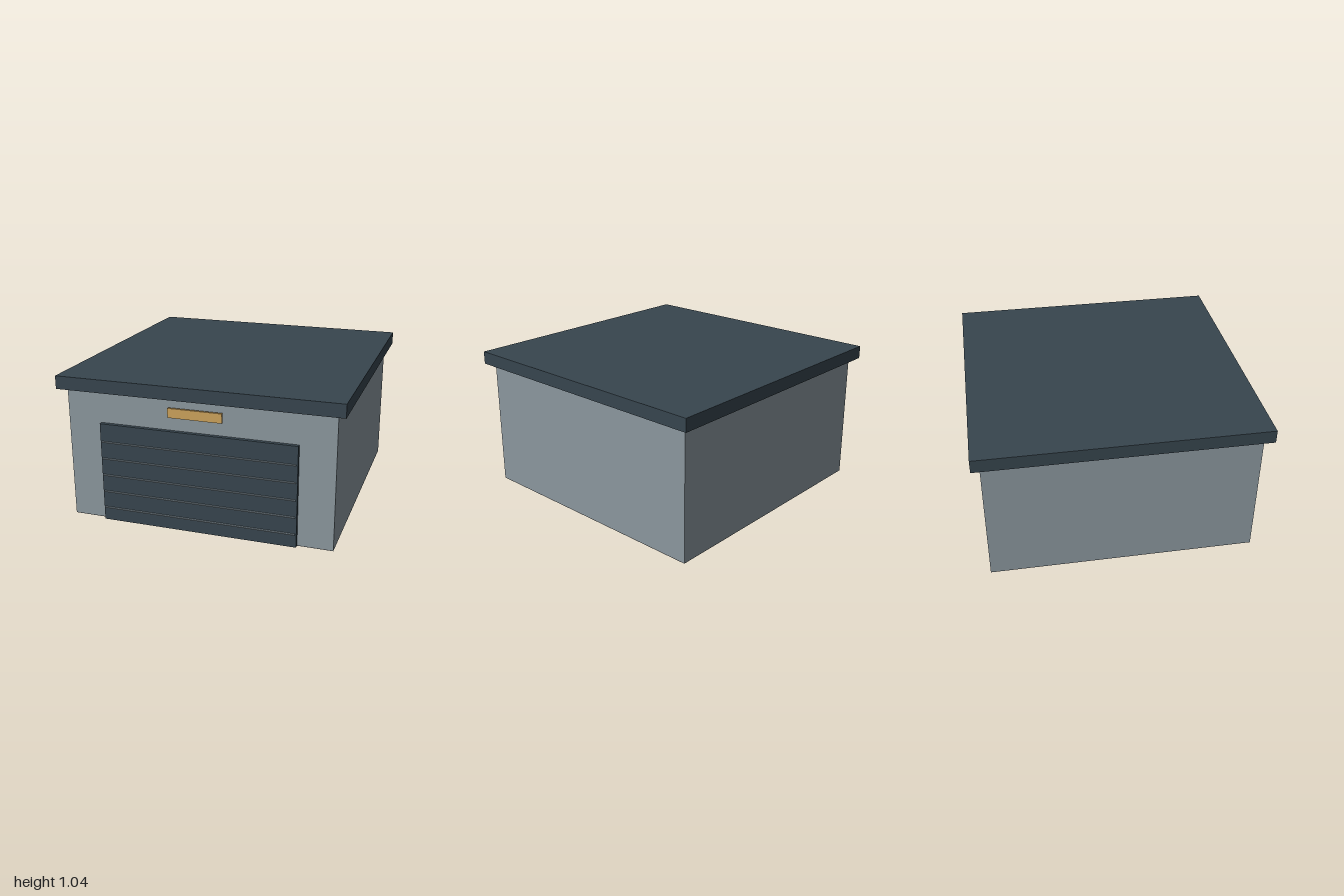
import * as THREE from 'three';

const paint = (color) => new THREE.MeshStandardMaterial({ color });

export function createModel() {
  const group = new THREE.Group();
  const wall = paint(0x8b979e), dark = paint(0x37454e), floor = paint(0x6f7478);
  const wood = paint(0xcca25c), seam = paint(0x7d8a92);

  // Box given by its lower and upper corners
  const box = (name, material, [x0, y0, z0], [x1, y1, z1]) => {
    const mesh = new THREE.Mesh(new THREE.BoxGeometry(x1 - x0, y1 - y0, z1 - z0), material);
    mesh.position.set((x0 + x1) / 2, (y0 + y1) / 2, (z0 + z1) / 2);
    mesh.name = name;
    group.add(mesh);
  };

  // Building shell on a thin floor slab, with an overhanging flat roof
  box('floorSlab', floor, [-0.943, 0, -0.943], [0.943, 0.005, 0.943]);
  box('walls', wall, [-0.943, 0.005, -0.943], [0.943, 0.945, 0.943]);
  box('roof', dark, [-1, 0.945, -1], [1, 1.038, 1]);

  // Garage door with raised horizontal seams
  box('garageDoor', dark, [-0.698, 0, 0.943], [0.698, 0.717, 0.972]);
  for (let i = 0; i < 5; i++) {
    const y = 0.097 + i * 0.1228;
    box('doorSeam' + (i + 1), seam, [-0.688, y - 0.003, 0.97], [0.688, y + 0.003, 0.987]);
  }

  // Blank sign board held just off the front wall
  box('signBoard', wood, [-0.19, 0.818, 0.966], [0.19, 0.884, 0.984]);

  return group;
}
